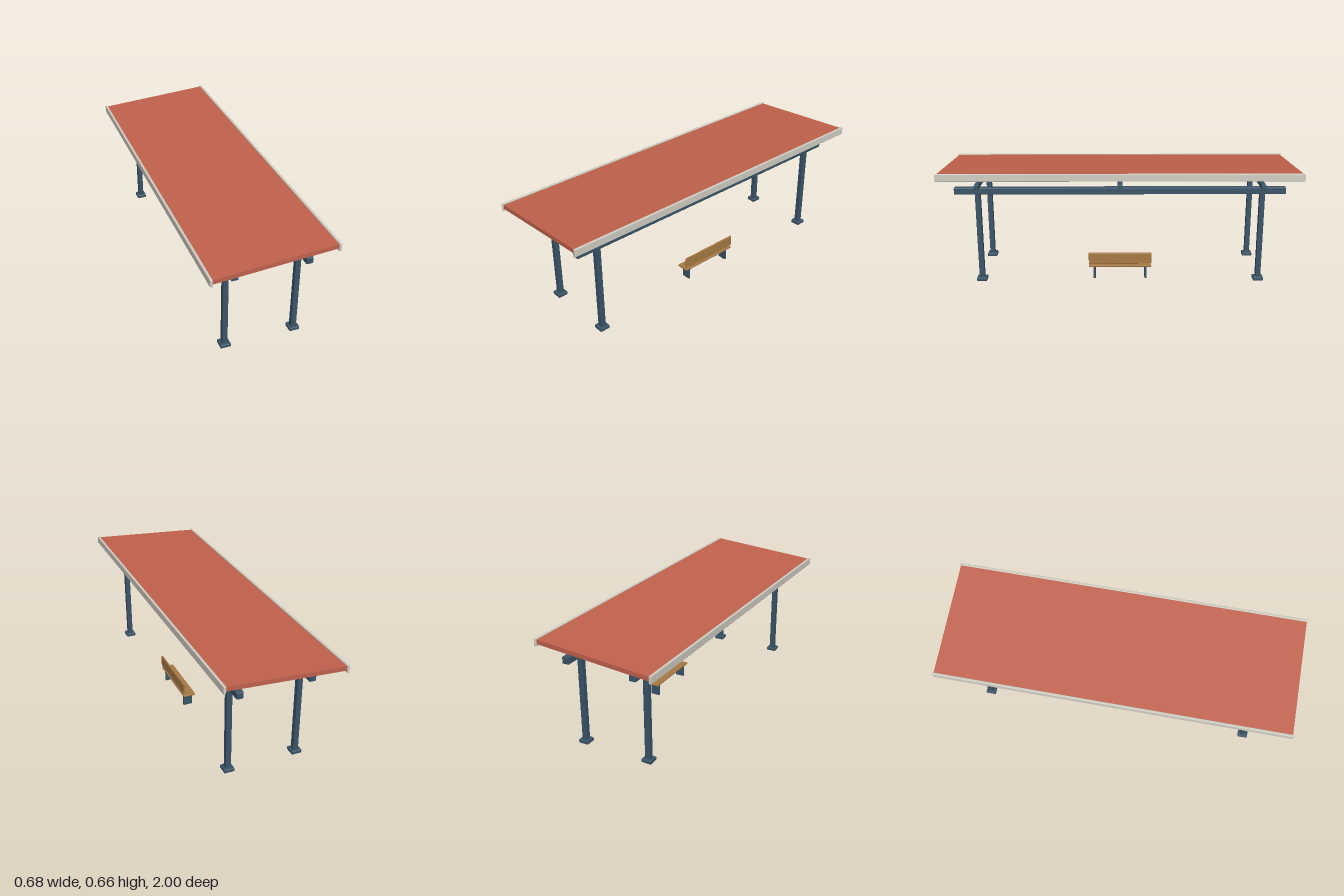
import * as THREE from 'three';
import { RoundedBoxGeometry } from 'three/addons/geometries/RoundedBoxGeometry.js';

const paint = (color) => new THREE.MeshStandardMaterial({ color });

export function createModel() {
  const model = new THREE.Group();
  model.name = 'shelter';
  const steel = paint(0x3a5468);
  const tile = paint(0xc1624c);
  const trim = paint(0xd2cfc4);
  const wood = paint(0xa87a45);

  // Box placed by its centre; a bevel above zero softens the edges
  function block(name, [w, h, d], [x, y, z], material, bevel = 0, parent = model) {
    const geometry = bevel > 0
      ? new RoundedBoxGeometry(w, h, d, 1, bevel)
      : new THREE.BoxGeometry(w, h, d);
    const mesh = new THREE.Mesh(geometry, material);
    mesh.name = name;
    mesh.position.set(x, y, z);
    parent.add(mesh);
    return mesh;
  }

  // Posts with foot plates, and the long beams they carry
  const frameX = 0.0155;
  for (const side of [-1, 1]) {
    const x = frameX + side * 0.198;
    for (const z of [-0.793, 0.793]) {
      block('post', [0.03, 0.515, 0.03], [x, 0.267, z], steel, 0.003);
      block('footPlate', [0.058, 0.02, 0.058], [x, 0.01, z], steel, 0.004);
    }
    block('longBeam', [0.038, 0.038, 1.845], [x, 0.534, 0], steel, 0.004);
  }

  // Cross beams
  for (const z of [-0.793, 0, 0.793]) {
    block('crossBeam', [0.494, 0.026, 0.026], [frameX, 0.563, z], steel, 0.004);
  }

  // Sloping roof slab with upright edge boards
  const roof = block('roof', [0.655, 0.0245, 1.988], [-0.001, 0.619, 0], tile);
  roof.rotation.z = 0.071;
  block('lowEdgeBoard', [0.014, 0.042, 2], [-0.3315, 0.593, 0], trim, 0.003);
  block('highEdgeBoard', [0.014, 0.042, 2], [0.33, 0.638, 0], trim, 0.003);

  // Bench facing the low side
  const bench = new THREE.Group();
  bench.name = 'bench';
  model.add(bench);
  block('benchSeat', [0.072, 0.01, 0.36], [0.172, 0.0765, 0], wood, 0.003, bench);
  block('benchBack', [0.01, 0.063, 0.36], [0.205, 0.1265, 0], wood, 0.002, bench);
  for (const z of [-0.147, 0.147]) {
    block('benchLeg', [0.052, 0.072, 0.012], [0.172, 0.036, z], steel, 0, bench);
  }

  return model;
}
